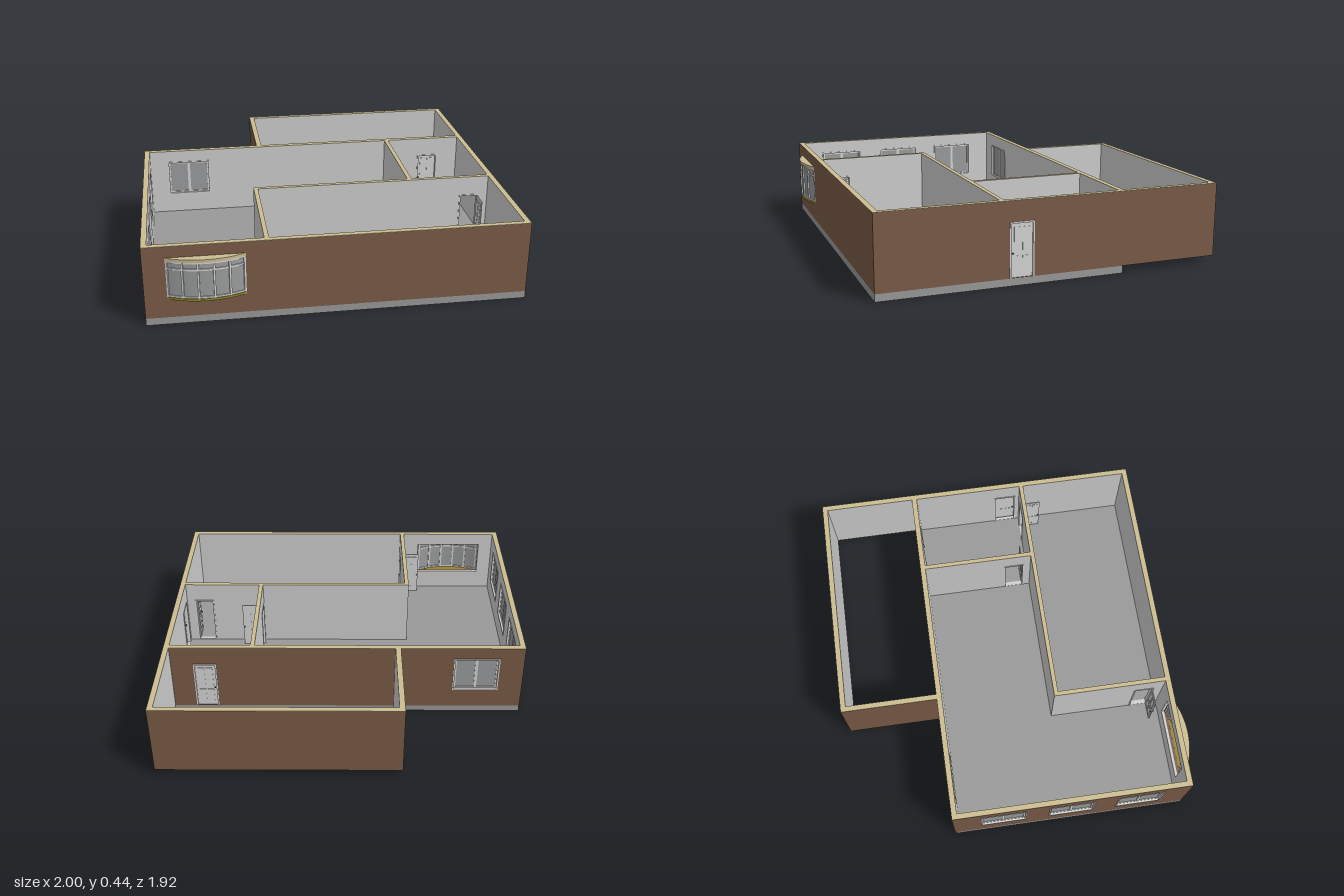
import * as THREE from 'three';

const mat = (name, color, side = THREE.FrontSide) => {
  const m = new THREE.MeshStandardMaterial({ color, side });
  m.name = name;
  return m;
};
const BRICK = mat('brown brick', 0x7b5b47);
const PLASTER = mat('light plaster', 0xcfcfcf);
const CREAM = mat('cream wall top', 0xcbbd90);
const CONCRETE = mat('grey concrete', 0x999999);
const WHITE = mat('white joinery', 0xd6d6d6);
const GLASS = mat('grey glass', 0x9b9d9e, THREE.DoubleSide);
const OLIVE = mat('olive sill', 0x93862f);
const METAL = mat('dark metal', 0x555555);

const FLOOR = 0.04, TOP = 0.44, CAP = 0.002;

function add(parent, name, geometry, material, x = 0, y = 0, z = 0) {
  const mesh = new THREE.Mesh(geometry, material);
  mesh.name = name;
  mesh.position.set(x, y, z);
  parent.add(mesh);
  return mesh;
}

// Box given by its lower and upper corners
function box(parent, name, material, x0, x1, y0, y1, z0, z1) {
  return add(parent, name, new THREE.BoxGeometry(x1 - x0, y1 - y0, z1 - z0), material,
    (x0 + x1) / 2, (y0 + y1) / 2, (z0 + z1) / 2);
}

// One skin of a wall with rectangular openings [u0, u1, y0, y1]
function skin(parent, name, material, u0, u1, z0, depth, holes) {
  const rect = (Type, a, b, c, d) => {
    const p = new Type();
    p.moveTo(a, c).lineTo(b, c).lineTo(b, d).lineTo(a, d).closePath();
    return p;
  };
  const shape = rect(THREE.Shape, u0, u1, FLOOR, TOP - CAP);
  holes.forEach(h => {
    // openings down to the floor stop just above it to stay inside the outline
    shape.holes.push(rect(THREE.Path, h[0], h[1], Math.max(h[2], FLOOR + 0.002), h[3]));
  });
  add(parent, name, new THREE.ExtrudeGeometry(shape, { depth, bevelEnabled: false }), material, 0, 0, z0);
}

// Wall along its outer line; local +x runs along it and local +z points outward
function wall(root, name, from, to, t, outer, inner, holes = []) {
  const g = new THREE.Group();
  g.name = name;
  const dx = to[0] - from[0], dz = to[1] - from[1], len = Math.hypot(dx, dz);
  g.position.set(from[0], 0, from[1]);
  g.rotation.y = Math.atan2(-dz, dx);
  skin(g, 'outerSkin', outer, 0, len, -t / 2, t / 2, holes);
  skin(g, 'innerSkin', inner, t / 2, len - t / 2, -t, t / 2, holes);
  box(g, 'wallTop', CREAM, 0, len, TOP - CAP, TOP, -t, 0);
  root.add(g);
  return g;
}

// Frame bars around an opening
function frame(g, [u0, u1, y0, y1], w, z0, z1, sill) {
  box(g, 'frameSide', WHITE, u0, u0 + w, y0, y1, z0, z1);
  box(g, 'frameSide', WHITE, u1 - w, u1, y0, y1, z0, z1);
  box(g, 'frameHead', WHITE, u0 + w, u1 - w, y1 - w, y1, z0, z1);
  if (sill) box(g, 'frameSill', WHITE, u0 + w, u1 - w, y0, y0 + w, z0, z1);
}

// Two-sash window
function sashWindow(g, hole, t) {
  const [u0, u1, y0, y1] = hole, mid = (u0 + u1) / 2, w = 0.008;
  frame(g, hole, w, -t - 0.003, 0.003, true);
  box(g, 'glass', GLASS, u0 + w, u1 - w, y0 + w, y1 - w, -t / 2 - 0.002, -t / 2 + 0.002);
  [[u0 + w, mid], [mid, u1 - w]].forEach(([a, b]) =>
    frame(g, [a, b, y0 + w, y1 - w], 0.008, -t / 2 - 0.006, -t / 2 + 0.006, true));
}

// Panelled door; side picks the hinge end, open swings it outward
function door(g, hole, t, side, open) {
  const [u0, u1, , y1] = hole, w = 0.008;
  frame(g, [u0, u1, FLOOR, y1], w, -t - 0.003, 0.003, false);
  const leaf = new THREE.Group();
  leaf.name = 'doorLeaf';
  const width = u1 - u0 - 2 * w, h = y1 - w - FLOOR - 0.002;
  const left = side < 0;
  leaf.position.set(left ? u0 + w : u1 - w, FLOOR + 0.002, open ? 0 : -0.008);
  const s = left ? 1 : -1;
  const slab = (name, m, a, b, y0, y1_, d) =>
    box(leaf, name, m, Math.min(s * a, s * b), Math.max(s * a, s * b), y0, y1_, -d, d);
  slab('doorBoard', WHITE, 0, width, 0, h, 0.003);
  for (const [a, b] of [[0.14, 0.46], [0.54, 0.86]])
    for (const [c, d] of [[0.07, 0.4], [0.5, 0.93]])
      slab('doorPanel', WHITE, a * width, b * width, c * h, d * h, 0.005);
  slab('doorHandle', METAL, width * 0.89, width * 0.96, h * 0.44, h * 0.46, 0.011);
  if (open) leaf.rotation.y = left ? -Math.PI / 2 : Math.PI / 2;
  g.add(leaf);
}

// Bowed window standing out from the wall
function bowWindow(g, [u0, u1, y0, y1]) {
  const bow = new THREE.Group();
  bow.name = 'bowWindow';
  const half = (u1 - u0) / 2, rise = 0.046;
  const R = (half * half + rise * rise) / (2 * rise), ang = Math.asin(half / R);
  bow.position.set((u0 + u1) / 2, 0, rise - R);
  const plate = (name, material, rOut, rIn, a, b) => {
    const shape = new THREE.Shape();
    shape.absarc(0, 0, rOut, Math.PI / 2 - ang, Math.PI / 2 + ang, false);
    if (rIn) shape.absarc(0, 0, rIn, Math.PI / 2 + ang, Math.PI / 2 - ang, true);
    const geo = new THREE.ExtrudeGeometry(shape, { depth: b - a, bevelEnabled: false, curveSegments: 20 });
    add(bow, name, geo.rotateX(Math.PI / 2), material, 0, b, 0);
  };
  plate('bowHead', CREAM, R, 0, y1 - 0.016, y1);
  plate('bowSill', OLIVE, R, 0, y0, y0 + 0.013);
  const lo = y0 + 0.013, hi = y1 - 0.016, r = R - 0.009;
  for (const [a, b] of [[lo, lo + 0.01], [0.313, 0.323], [hi - 0.01, hi]])
    plate('bowRail', WHITE, R - 0.004, R - 0.014, a, b);
  add(bow, 'bowGlass', new THREE.CylinderGeometry(r, r, hi - lo, 20, 1, true, -ang, 2 * ang),
    GLASS, 0, (lo + hi) / 2, 0);
  for (let i = 0; i <= 5; i++) {
    const a = (-1 + 0.4 * i) * (ang - 0.012);
    const bar = add(bow, 'bowMullion', new THREE.BoxGeometry(0.011, hi - lo, 0.014), WHITE,
      Math.sin(a) * (R - 0.008), (lo + hi) / 2, Math.cos(a) * (R - 0.008));
    bar.rotation.y = a;
  }
  g.add(bow);
}

export function createModel() {
  const root = new THREE.Group();
  root.name = 'house';
  const L = -1, Rt = 0.995, F = 0.91, B = -0.418, AB = -0.96, AL = -0.313;
  const t = 0.03, tp = 0.024, doorTop = 0.33;

  box(root, 'floorSlab', CONCRETE, L, Rt, 0, FLOOR, -0.412, F);

  // Outer walls
  const bay = [0.115, 0.515, 0.157, 0.363];
  const front = wall(root, 'frontWall', [L, F], [Rt, F], t, BRICK, PLASTER, [bay]);
  bowWindow(front, [0.113, 0.517, 0.145, 0.377]);

  const sideDoor = [F - 0.22, F - 0.088, FLOOR, doorTop];
  const left = wall(root, 'leftWall', [Rt, F], [Rt, AB], t, BRICK, PLASTER, [sideDoor]);
  door(left, sideDoor, t, 1, false);

  const backDoor = [Rt - 0.84, Rt - 0.712, FLOOR, doorTop];
  const backWin = [Rt + 0.61, Rt + 0.865, 0.155, 0.37];
  const back = wall(root, 'backWall', [Rt, B], [L, B], t, BRICK, PLASTER, [backDoor, backWin]);
  door(back, backDoor, t, -1, false);
  sashWindow(back, backWin, t);

  const wins = [0.155, 0.54, 0.925].map(u => [u, u + 0.257, 0.155, 0.37]);
  const right = wall(root, 'rightWall', [L, B], [L, F], t, BRICK, PLASTER, wins);
  wins.forEach(h => sashWindow(right, h, t));

  // Rear extension without a floor
  wall(root, 'extensionBackWall', [Rt, AB], [AL, AB], t, BRICK, PLASTER);
  wall(root, 'extensionSideWall', [AL, AB], [AL, B + t / 2], t, BRICK, PLASTER);

  // Partitions with open doors: [name, from, to, opening, hinge end]
  [
    ['longPartition', [-0.388, 0.265], [0.975, 0.265], [1.188, 1.302], 1],
    ['frontPartition', [-0.388, 0.241], [-0.388, 0.893], [0.473, 0.587], 1],
    ['rearPartition', [0.518, 0.253], [0.518, -0.4], [0.05, 0.17], -1],
  ].forEach(([name, from, to, [a, b], side]) => {
    const hole = [a, b, FLOOR, doorTop];
    door(wall(root, name, from, to, tp, PLASTER, PLASTER, [hole]), hole, tp, side, true);
  });

  return root;
}
